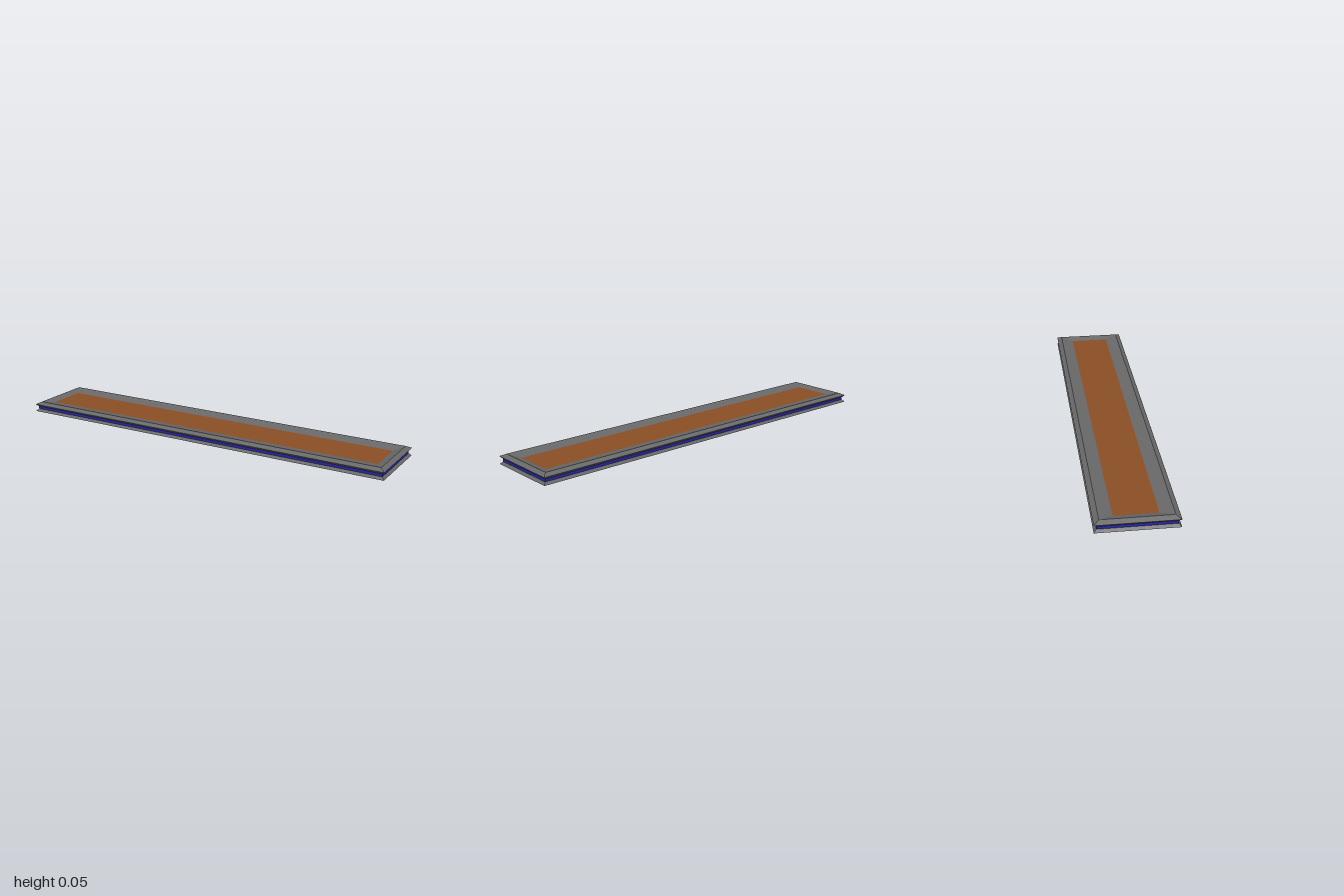
import * as THREE from 'three';

// A profile level is [half length, height, half width]; corners run anticlockwise from above.
const corners = ([x, y, z]) => [[x, y, z], [x, y, -z], [-x, y, -z], [-x, y, z]];

// Flat-shaded geometry from a list of four-cornered faces.
function quads(faces) {
  const positions = faces.flatMap(([a, b, c, d]) => [a, b, c, a, c, d].flat());
  const geometry = new THREE.BufferGeometry();
  geometry.setAttribute('position', new THREE.Float32BufferAttribute(positions, 3));
  geometry.computeVertexNormals();
  return geometry;
}

// Faces joining successive rectangular levels.
function bands(levels) {
  const faces = [];
  for (let k = 0; k < levels.length - 1; k++) {
    const a = corners(levels[k]), b = corners(levels[k + 1]);
    for (let i = 0; i < 4; i++) {
      const j = (i + 1) % 4;
      faces.push([a[i], a[j], b[j], b[i]]);
    }
  }
  return faces;
}

export function createModel() {
  const group = new THREE.Group();
  const material = (name, color) => {
    const m = new THREE.MeshStandardMaterial({ color });
    m.name = name;
    return m;
  };
  const grey = material('grey frame', 0x696969);
  const blue = material('blue strip', 0x2626a0);
  const brown = material('brown panel', 0x8b4f24);
  const add = (name, faces, mat) => {
    const mesh = new THREE.Mesh(quads(faces), mat);
    mesh.name = name;
    group.add(mesh);
  };

  const base = [1, 0, 0.187];
  const grooveLow = [0.988, 0.012, 0.175];
  const grooveHigh = [0.988, 0.026, 0.175];
  const edge = [1, 0.038, 0.187];
  const rim = [0.976, 0.05, 0.163];
  const floor = [0.936, 0.038, 0.1];

  // Flared foot with its flat underside
  add('base', [corners(base).reverse(), ...bands([base, grooveLow])], grey);
  // Recessed strip around the sides
  add('sideStrip', bands([grooveLow, grooveHigh]), blue);
  // Undercut, outer bevel and the slope down into the tray
  add('rim', bands([grooveHigh, edge, rim, floor]), grey);
  // Sunken panel
  add('panel', [corners(floor)], brown);

  return group;
}
